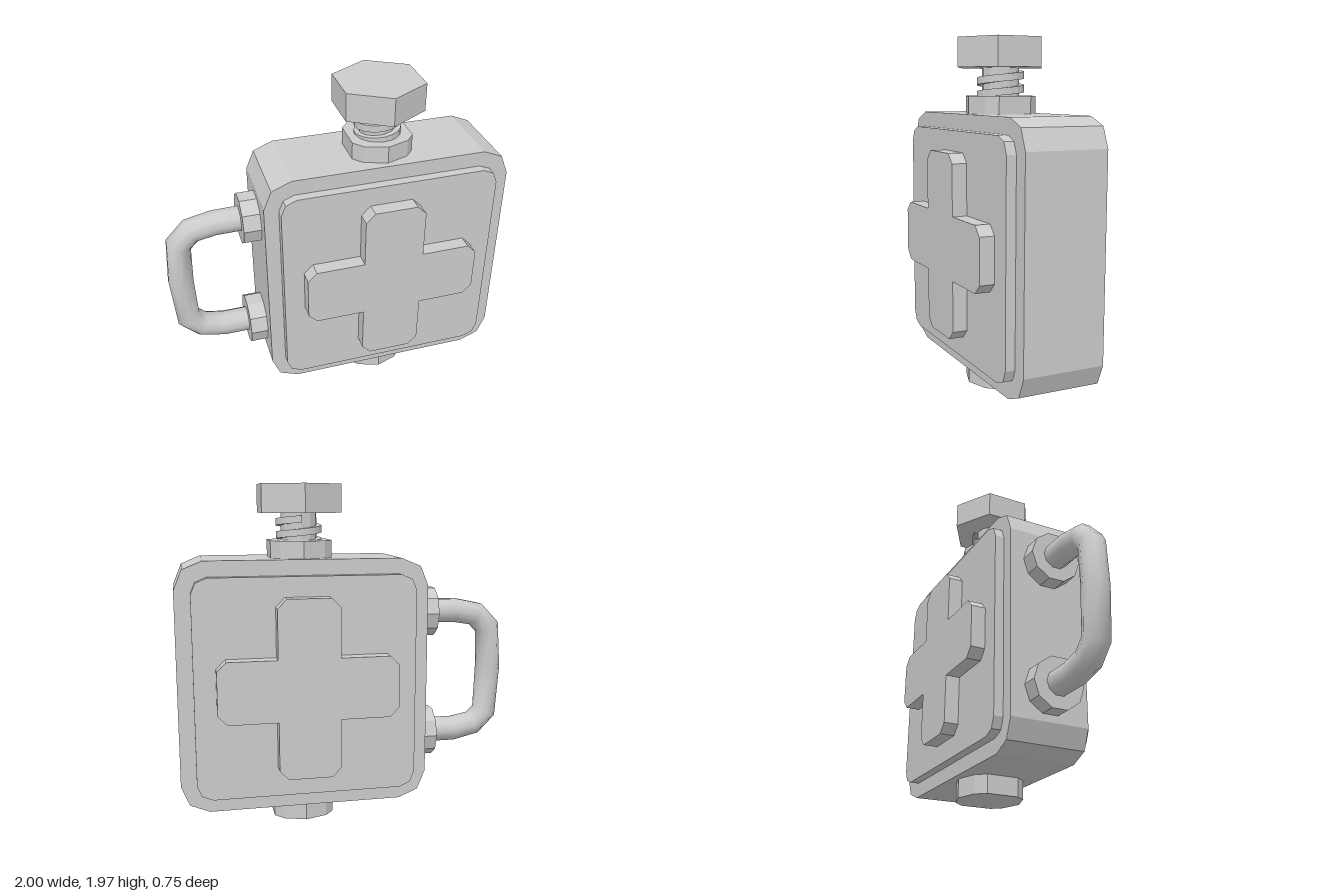
import * as THREE from 'three';

const CX = 0.272, CY = 0.833; // centre of the body

export function createModel() {
  const model = new THREE.Group();
  const flat = new THREE.MeshStandardMaterial({ color: 0xcccccc, flatShading: true });
  const smooth = new THREE.MeshStandardMaterial({ color: 0xcccccc, side: THREE.DoubleSide });

  const add = (name, geometry, x, y, z, material = flat) => {
    const mesh = new THREE.Mesh(geometry, material);
    mesh.name = name;
    mesh.position.set(x, y, z);
    model.add(mesh);
    return mesh;
  };

  // Extrude an outline, centred on z
  const slab = (points, depth) => {
    const shape = new THREE.Shape(points.map(([x, y]) => new THREE.Vector2(x, y)));
    return new THREE.ExtrudeGeometry(shape, { depth, bevelEnabled: false }).translate(0, 0, -depth / 2);
  };

  // Repeat one quadrant's points (counter-clockwise) around both axes
  const mirrorQuadrant = (q) => {
    const r = [...q].reverse();
    return [
      ...q,
      ...r.map(([x, y]) => [-x, y]),
      ...q.map(([x, y]) => [-x, -y]),
      ...r.map(([x, y]) => [x, -y]),
    ];
  };

  // Square with two-segment rounded corners
  const roundedSquare = (hx, hy, r) => mirrorQuadrant([0, 1, 2].map((i) => {
    const a = (i * Math.PI) / 4;
    return [hx - r + r * Math.cos(a), hy - r + r * Math.sin(a)];
  }));

  // Body and raised panels on both faces
  add('body', slab(roundedSquare(0.725, 0.723, 0.16), 0.47), CX + 0.003, CY, 0);
  for (const s of [1, -1]) {
    add(s > 0 ? 'frontPanel' : 'backPanel',
      slab(roundedSquare(0.638, 0.634, 0.09), 0.07), CX, CY, s * 0.255);
  }

  // Raised crosses with chamfered arm ends
  const w = 0.178, L = 0.516, c = 0.053;
  const cross = mirrorQuadrant([[L, w - c], [L - c, w], [w, w], [w, L - c], [w - c, L]]);
  for (const s of [1, -1]) {
    add(s > 0 ? 'frontCross' : 'backCross', slab(cross, 0.1), CX - 0.002, CY + 0.003, s * 0.325);
  }

  // Neck on top and foot below, both ten-sided
  const q = [[0.178, 0.097], [0.128, 0.155]];
  const ring = [...q, [0, 0.198], [-0.128, 0.155], [-0.178, 0.097],
    [-0.178, -0.097], [-0.128, -0.155], [0, -0.198], [0.128, -0.155], [0.178, -0.097]];
  const collar = (h) => slab(ring, h).rotateX(-Math.PI / 2);
  add('neck', collar(0.115), CX, 1.598, 0);
  add('foot', collar(0.125), CX, 0.0625, 0);

  // Screw cap: shank, thread and hexagonal head
  add('capShank', new THREE.CylinderGeometry(0.105, 0.105, 0.19, 12), CX, 1.73, 0);
  add('capHead', new THREE.CylinderGeometry(0.264, 0.264, 0.163, 6), CX, 1.893, 0);

  // Each thread turn is a lathed ring sheared upward along its sweep
  const pitch = 0.075, steps = 20;
  const profile = [[0.09, -0.02], [0.134, -0.02], [0.134, 0.02], [0.09, 0.02]]
    .map(([x, y]) => new THREE.Vector2(x, y));
  for (let turn = 0; turn < 2; turn++) {
    const g = new THREE.LatheGeometry(profile, steps, Math.PI, Math.PI * 2);
    const p = g.attributes.position;
    for (let i = 0; i < p.count; i++) {
      const along = Math.floor(i / profile.length) / steps;
      p.setY(i, p.getY(i) + pitch * along);
    }
    g.computeVertexNormals();
    const thread = add('capThread', g, CX, 1.628 + turn * pitch, 0, flat.clone());
    thread.material.side = THREE.DoubleSide;
  }

  // Handle mounts on the side
  for (const y of [1.215, 0.457]) {
    add(y > 1 ? 'upperHandleMount' : 'lowerHandleMount',
      new THREE.CylinderGeometry(0.152, 0.152, 0.13, 10).rotateZ(Math.PI / 2), -0.487, y, 0);
  }

  // Handle: tube with one ring at each path point
  const path = [[-0.52, 1.217], [-0.7, 1.213], [-0.833, 1.187], [-0.912, 1.105], [-0.926, 0.85],
    [-0.91, 0.562], [-0.833, 0.485], [-0.7, 0.456], [-0.52, 0.457]]
    .map(([x, y]) => new THREE.Vector3(x, y, 0));
  const last = path.length - 1;
  const curve = new THREE.Curve();
  curve.getPointAt = (t, target = new THREE.Vector3()) => target.copy(path[Math.round(t * last)]);
  curve.getTangentAt = (t, target = new THREE.Vector3()) => {
    const i = Math.round(t * last);
    const before = path[i].clone().sub(path[Math.max(i - 1, 0)]).normalize();
    const after = path[Math.min(i + 1, last)].clone().sub(path[i]).normalize();
    return target.copy(before.add(after)).normalize();
  };
  add('handle', new THREE.TubeGeometry(curve, last, 0.076, 10, false), 0, 0, 0, smooth);

  return model;
}
